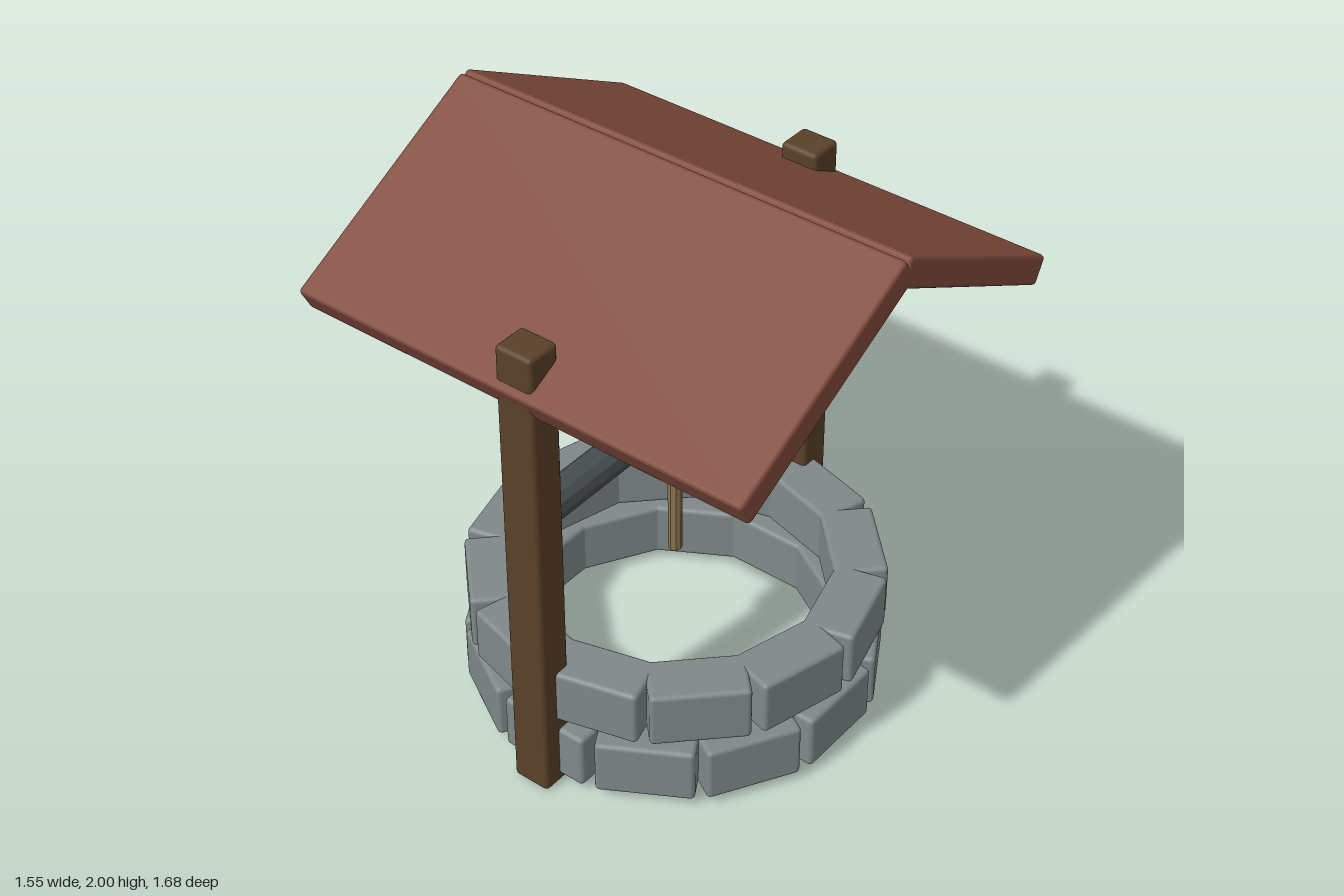
import * as THREE from 'three';
import { RoundedBoxGeometry } from 'three/addons/geometries/RoundedBoxGeometry.js';

const material = (color, flatShading = false) => new THREE.MeshStandardMaterial({ color, flatShading });

export function createModel() {
  const well = new THREE.Group();
  well.name = 'well';

  const wood = material(0x5a4128);
  const tile = material(0x7f4a3c);
  const stone = material(0x7f8889);

  const add = (parent, name, geometry, mat, x, y, z) => {
    const mesh = new THREE.Mesh(geometry, mat);
    mesh.name = name;
    mesh.position.set(x, y, z);
    parent.add(mesh);
    return mesh;
  };

  // Two courses of twelve stones, the upper one turned half a stone
  const count = 12;
  const stoneGeometry = new RoundedBoxGeometry(0.325, 0.2, 0.18, 2, 0.016);
  const addCourse = (name, y, offset) => {
    const course = new THREE.Group();
    course.name = name;
    for (let i = 0; i < count; i++) {
      const a = ((i + offset) / count) * Math.PI * 2;
      const block = add(course, 'stone', stoneGeometry, stone, Math.sin(a) * 0.598, y, Math.cos(a) * 0.598);
      block.rotation.y = a;
    }
    well.add(course);
  };
  addCourse('lowerStoneCourse', 0.13, 0);
  addCourse('upperStoneCourse', 0.373, 0.5);

  // Posts and sloping roof slabs, mirrored left and right
  const postGeometry = new RoundedBoxGeometry(0.125, 1.727, 0.138, 2, 0.016);
  const slabGeometry = new RoundedBoxGeometry(0.87, 0.1, 1.68, 2, 0.014);
  for (const [side, s] of [['left', 1], ['right', -1]]) {
    add(well, side + 'Post', postGeometry, wood, s * 0.692, 0.8635, 0);
    const slab = add(well, side + 'RoofSlab', slabGeometry, tile, s * 0.372, 1.755, 0);
    slab.rotation.z = -s * THREE.MathUtils.degToRad(28);
  }

  // Crossbar between the posts, with the hanging rope
  const bar = add(well, 'crossbar', new THREE.CylinderGeometry(0.06, 0.06, 1.3, 12),
    material(0x484e50, true), 0, 1.08, 0);
  bar.rotation.z = Math.PI / 2;
  add(well, 'rope', new THREE.CylinderGeometry(0.024, 0.024, 0.54, 8),
    material(0x8a7350, true), 0, 0.77, 0);

  return well;
}
